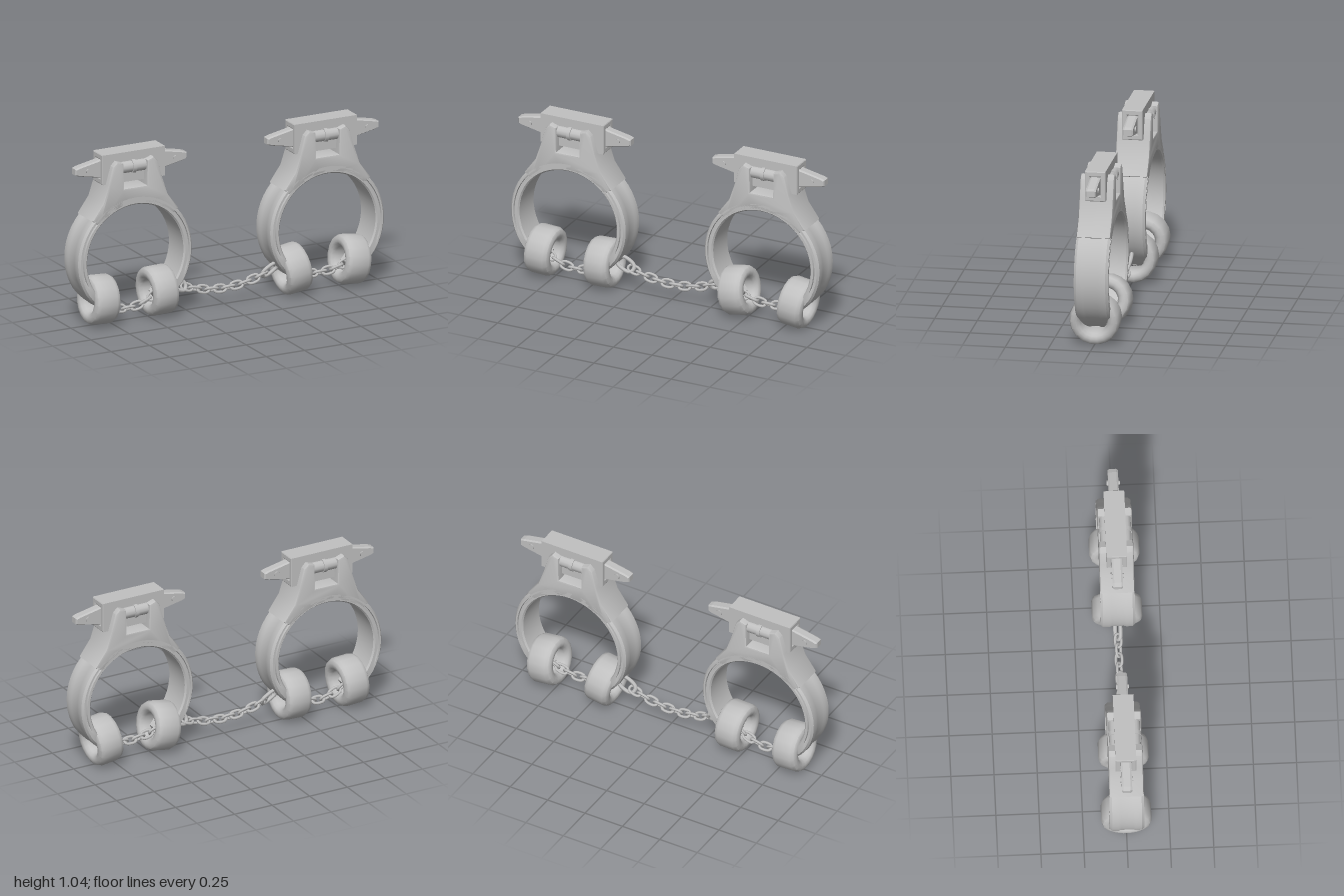
import * as THREE from 'three';
import { toCreasedNormals } from 'three/addons/utils/BufferGeometryUtils.js';

const steel = new THREE.MeshStandardMaterial({ color: 0xc0c0c0 });
steel.name = 'steel grey';

const RAD = Math.PI / 180;
const CY = 0.41; // height of the cuff centre

function add(parent, name, geometry, x = 0, y = 0, z = 0) {
  const mesh = new THREE.Mesh(geometry, steel);
  mesh.name = name;
  mesh.position.set(x, y, z);
  parent.add(mesh);
  return mesh;
}

// Open cuff: a cross-section swept round, narrowing where it enters the rings
function cuffGeometry() {
  const steps = 44, from = -59, to = 239;
  const pos = [], index = [];
  let n = 0;
  for (let i = 0; i <= steps; i++) {
    const deg = from + ((to - from) * i) / steps;
    const side = deg > 90 ? 180 - deg : deg; // mirrored angle
    const t = THREE.MathUtils.clamp((-33 - side) / 25, 0, 1);
    const h = 0.1 - 0.042 * t * t;
    const ri = 0.315, ro = 0.373 - 0.008 * t, rm = 0.344;
    const g = side > -22 && side < 50 ? 0.012 : 0; // slot in both faces
    const half = [
      [ro - 0.005, 0.35 * h], [ro, 0.5 * h], [ro - 0.002, 0.86 * h], [ro - 0.013, h],
      [rm + 0.006, h], [rm + 0.004, h - g], [rm - 0.004, h - g], [rm - 0.006, h],
      [ri + 0.008, h], [ri, 0.9 * h],
    ];
    const section = [...half, ...half.map(([r, z]) => [r, -z]).reverse()];
    n = section.length;
    const c = Math.cos(deg * RAD), s = Math.sin(deg * RAD);
    for (const [r, z] of section) pos.push(r * c, CY + r * s, z);
  }
  for (let i = 0; i < steps; i++) {
    for (let j = 0; j < n; j++) {
      const k = (j + 1) % n;
      const a = i * n + j, b = (i + 1) * n + j, c = (i + 1) * n + k, d = i * n + k;
      index.push(a, b, c, a, c, d);
    }
  }
  const last = steps * n;
  for (let j = 1; j < n - 1; j++) {
    index.push(0, j, j + 1, last, last + j + 1, last + j);
  }
  const geo = new THREE.BufferGeometry();
  geo.setAttribute('position', new THREE.Float32BufferAttribute(pos, 3));
  geo.setIndex(index);
  return toCreasedNormals(geo, 0.6);
}

// Forked yoke rising from the top of the cuff
function yokeGeometry() {
  const right = [[0.085, 0.82], [0.088, 0.975], [0.115, 0.985], [0.135, 0.965], [0.165, 0.86], [0.2, 0.755], [0.265, 0.665]];
  const b = 0.012;
  const shape = new THREE.Shape();
  right.slice().reverse().forEach(([x, y], i) => (i ? shape.lineTo(-x, y) : shape.moveTo(-x, y)));
  right.forEach(([x, y]) => shape.lineTo(x, y));
  for (let a = 45; a <= 135; a += 9) {
    shape.lineTo(0.33 * Math.cos(a * RAD), CY + 0.33 * Math.sin(a * RAD));
  }
  const geo = new THREE.ExtrudeGeometry(shape, {
    depth: 0.2 - 2 * b, bevelEnabled: true, bevelSize: b, bevelThickness: b, bevelSegments: 2,
  });
  geo.translate(0, 0, -0.1 + b);
  return toCreasedNormals(geo, 0.6);
}

// Hollow square sleeve along x
function sleeveGeometry() {
  const shape = new THREE.Shape([[-0.055, -0.085], [0.055, -0.085], [0.055, 0.085], [-0.055, 0.085]].map((p) => new THREE.Vector2(...p)));
  shape.holes.push(new THREE.Path([[-0.036, -0.062], [-0.036, 0.062], [0.036, 0.062], [0.036, -0.062]].map((p) => new THREE.Vector2(...p))));
  const geo = new THREE.ExtrudeGeometry(shape, { depth: 0.404, bevelSize: 0.005, bevelThickness: 0.003, bevelSegments: 1 });
  geo.translate(0, 0, -0.202);
  geo.rotateY(Math.PI / 2);
  return geo;
}

// Flat bolt running through the sleeve with tapered tips
function boltGeometry() {
  const half = [[0.364, 0.018], [0.34, 0.027], [0.2, 0.055]];
  const pts = [
    ...half.map(([x, y]) => [x, y]),
    ...half.map(([x, y]) => [-x, y]).reverse(),
    ...half.map(([x, y]) => [-x, -y]),
    ...half.map(([x, y]) => [x, -y]).reverse(),
  ].map((p) => new THREE.Vector2(...p));
  const geo = new THREE.ExtrudeGeometry(new THREE.Shape(pts), {
    depth: 0.04, bevelSize: 0.006, bevelOffset: -0.006, bevelThickness: 0.01, bevelSegments: 1,
  });
  geo.translate(0, 0, -0.02);
  return geo;
}

// Thick rounded ring with its axis along x
function ringGeometry() {
  const ro = 0.146, ri = 0.075, w = 0.08;
  const profile = [
    [ri, -w + 0.025], [ri + 0.012, -w + 0.006], [ri + 0.028, -w], [ro - 0.028, -w], [ro - 0.01, -w + 0.009], [ro, -w + 0.03],
    [ro, w - 0.03], [ro - 0.01, w - 0.009], [ro - 0.028, w], [ri + 0.028, w], [ri + 0.012, w - 0.006], [ri, w - 0.025], [ri, -w + 0.025],
  ].map((p) => new THREE.Vector2(...p));
  const geo = new THREE.LatheGeometry(profile, 18);
  geo.rotateZ(-Math.PI / 2);
  return toCreasedNormals(geo, 0.7);
}

// Oval chain link lying along x
function linkGeometry() {
  const pts = [];
  for (const side of [1, -1]) {
    for (let i = 0; i <= 4; i++) {
      const a = (-90 + 45 * i) * RAD;
      pts.push(new THREE.Vector3(side * (0.018 + 0.021 * Math.cos(a)), side * 0.021 * Math.sin(a), 0));
    }
  }
  return new THREE.TubeGeometry(new THREE.CatmullRomCurve3(pts, true), 20, 0.0085, 6, true);
}

const link = linkGeometry();

function placeLink(parent, x, y, angle, roll, scale = 1) {
  const mesh = add(parent, 'chainLink', link, x, y, 0);
  mesh.rotation.order = 'ZXY';
  mesh.rotation.set(roll, 0, angle);
  mesh.scale.setScalar(scale);
}

// Sagging chain of alternately turned links
function addChain(parent, name, x0, x1, yEnd, sag, count) {
  const chain = new THREE.Group();
  chain.name = name;
  parent.add(chain);
  const mid = (x0 + x1) / 2, half = (x1 - x0) / 2;
  for (let i = 0; i < count; i++) {
    const u = -1 + (2 * i) / (count - 1);
    const y = yEnd - sag * (1 - u * u);
    placeLink(chain, mid + u * half, y, Math.atan((2 * sag * u) / half), i % 2 ? 0.95 : -0.6);
  }
}

function addShackle(parent, name, x, tilts) {
  const g = new THREE.Group();
  g.name = name;
  g.position.x = x;
  parent.add(g);
  add(g, 'cuff', cuffGeometry());
  add(g, 'yoke', yokeGeometry());
  add(g, 'boltSleeve', sleeveGeometry(), 0.008, 0.95, 0);
  add(g, 'bolt', boltGeometry(), 0.008, 0.95, 0);

  // Hinge knuckles on both faces of the sleeve
  for (const z of [-0.055, 0.055]) {
    for (const s of [-1, 1]) {
      const knuckle = new THREE.CylinderGeometry(0.036, 0.036, 0.07, 12);
      knuckle.rotateZ(Math.PI / 2);
      add(g, 'knuckle', knuckle, s * 0.045, 0.95, z);
    }
    const collar = new THREE.CylinderGeometry(0.042, 0.042, 0.022, 12);
    collar.rotateZ(Math.PI / 2);
    add(g, 'knuckleCollar', collar, 0, 0.95, z);
  }

  // Small studs near the bolt tips
  for (const s of [-1, 1]) {
    const stud = new THREE.CylinderGeometry(0.013, 0.018, 0.076, 6);
    stud.rotateX(Math.PI / 2);
    add(g, 'boltStud', stud, 0.008 + s * 0.285, 0.95, 0);
  }

  // Weighted rings on the cuff ends
  [-0.192, 0.192].forEach((rx, i) => {
    add(g, 'endRing', ringGeometry(), rx, 0.153, 0).rotation.z = tilts[i];
  });
}

export function createModel() {
  const model = new THREE.Group();
  model.name = 'shackles';
  addShackle(model, 'rightShackle', -0.627, [-0.06, 0.03]);
  addShackle(model, 'leftShackle', 0.627, [0.17, -0.13]);

  addChain(model, 'rightShortChain', -0.79, -0.46, 0.125, 0.055, 7);
  addChain(model, 'leftShortChain', 0.46, 0.79, 0.13, 0.03, 7);
  addChain(model, 'longChain', -0.245, 0.245, 0.14, 0.042, 10);

  // Larger links joining the long chain to the cuffs
  for (const s of [-1, 1]) placeLink(model, s * 0.3, 0.165, s * 0.5, 0.5 * s, 1.45);
  return model;
}
